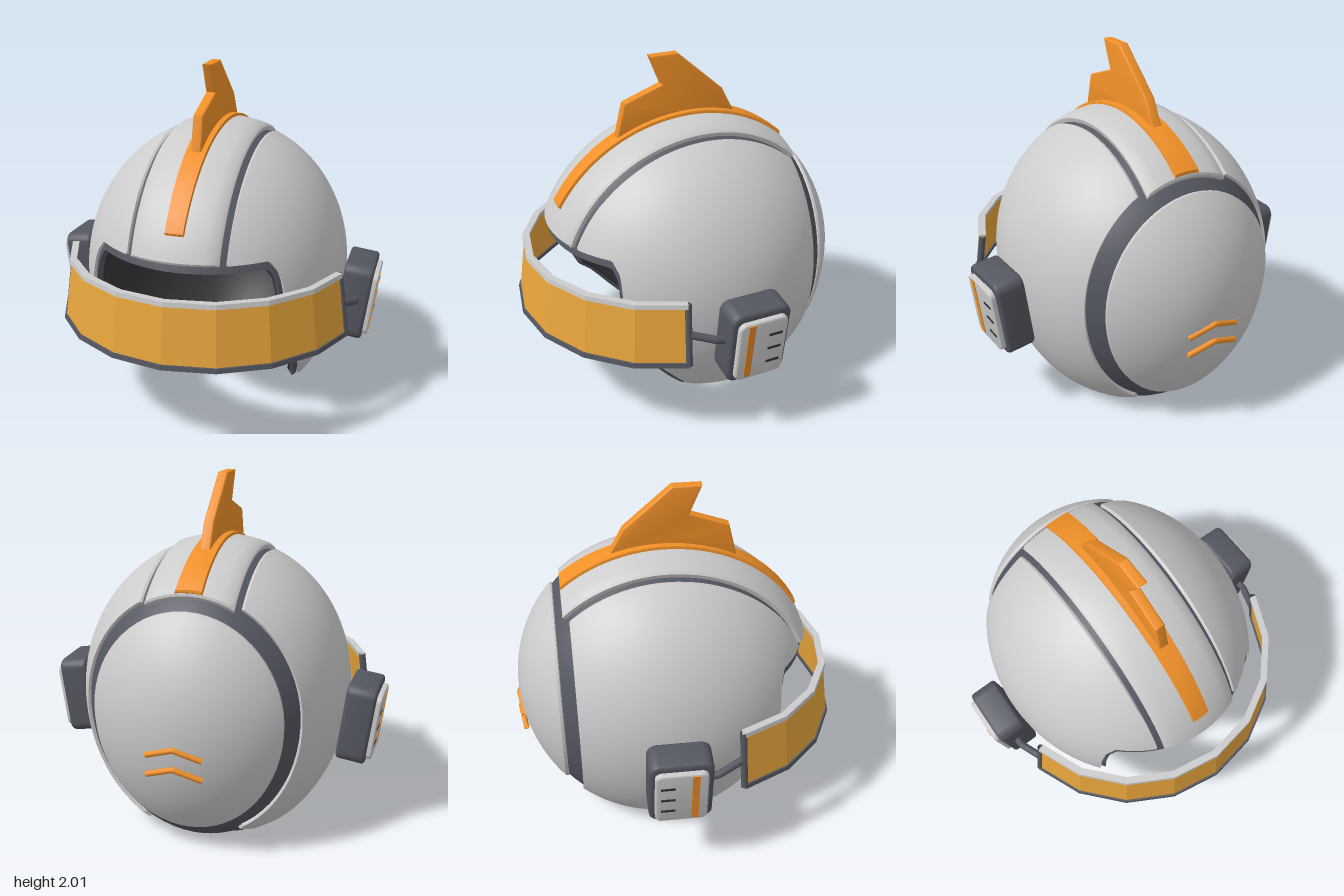
import * as THREE from 'three';
import { toCreasedNormals } from 'three/addons/utils/BufferGeometryUtils.js';

const C = new THREE.Vector3(0, 0.77, -0.08); // centre of the egg-shaped shell
const RX = 0.78, TOP = 0.86, LOW = 0.95, FRONT = 0.9, BACK = 0.86;

const material = (color) => new THREE.MeshStandardMaterial({ color, side: THREE.DoubleSide });
const white = material(0xcccccc), slate = material(0x555761), dark = material(0x343437);
const orange = material(0xf09028), amber = material(0xe8a53c);

function add(parent, name, geometry, mat) {
  const mesh = new THREE.Mesh(geometry, mat);
  mesh.name = name;
  parent.add(mesh);
  return mesh;
}

// Point on the shell in the cross-section at z, at angle a from the top
function slicePoint(z, a) {
  const k = sliceScale(z), c = Math.cos(a);
  return new THREE.Vector3(RX * k * Math.sin(a), C.y + (c > 0 ? TOP : LOW) * k * c, z);
}
function sliceScale(z) {
  const d = (z - C.z) / (z > C.z ? FRONT : BACK);
  return Math.sqrt(Math.max(1e-6, 1 - d * d));
}
// Angle at which the cross-section at z reaches height y
function angleAt(z, y) {
  const r = (y > C.y ? TOP : LOW) * sliceScale(z);
  return Math.acos(THREE.MathUtils.clamp((y - C.y) / r, -1, 1));
}

const allEdges = (u, v) => u === 0 || u === 1 || v === 0 || v === 1;

// Thick curved panel: f(u, v) lies on the shell, r0 and r1 scale it to the inner and outer skin
function panel(f, nu, nv, r0, r1, isBevelled = allEdges) {
  const pos = [], index = [], half = (nu + 1) * (nv + 1);
  const sample = (i, n) => (i === 0 ? 0 : i === n ? 1 : (i - 0.7) / (n - 1.4));
  for (const r of [r1, r0])
    for (let i = 0; i <= nu; i++)
      for (let j = 0; j <= nv; j++) {
        const u = sample(i, nu), v = sample(j, nv);
        const s = r === r1 && isBevelled(u, v) ? r - 0.012 : r;
        pos.push(...f(u, v).sub(C).multiplyScalar(s).add(C).toArray());
      }
  const at = (i, j) => i * (nv + 1) + j;
  const point = (k) => new THREE.Vector3().fromArray(pos, k * 3);
  const mi = nu >> 1, mj = nv >> 1, p = point(at(mi, mj));
  const n = point(at(mi + 1, mj)).sub(p).cross(point(at(mi, mj + 1)).sub(p));
  const flip = n.dot(p.sub(C)) < 0;
  const quad = (a, b, c, d) => (flip ? index.push(a, c, b, a, d, c) : index.push(a, b, c, a, c, d));
  for (let i = 0; i < nu; i++)
    for (let j = 0; j < nv; j++) {
      const q = [at(i, j), at(i + 1, j), at(i + 1, j + 1), at(i, j + 1)];
      quad(...q);
      quad(...q.reverse().map((k) => k + half));
    }
  const rim = (a, b) => quad(a, a + half, b + half, b);
  for (let i = 0; i < nu; i++) {
    rim(at(i, 0), at(i + 1, 0));
    rim(at(i + 1, nv), at(i, nv));
  }
  for (let j = 0; j < nv; j++) {
    rim(at(0, j + 1), at(0, j));
    rim(at(nu, j), at(nu, j + 1));
  }
  const g = new THREE.BufferGeometry();
  g.setAttribute('position', new THREE.Float32BufferAttribute(pos, 3));
  g.setIndex(index);
  return toCreasedNormals(g, 0.6);
}

// Lower edge of a panel as [z, y] points, read at u from 0 to 1
function along(path, u) {
  const t = u * (path.length - 1), i = Math.min(Math.floor(t), path.length - 2);
  return [0, 1].map((k) => THREE.MathUtils.lerp(path[i][k], path[i + 1][k], t - i));
}

// Band running over the crown from height yFront to depth zBack
function crownBand(width, yFront, zBack, r0, r1) {
  return panel((u, v) => {
    const x = width(u) * (2 * v - 1), k = Math.sqrt(1 - (x / RX) ** 2);
    const start = Math.asin((yFront - C.y) / (TOP * k));
    const phi = THREE.MathUtils.lerp(start, Math.acos((zBack - C.z) / (BACK * k)), u);
    const c = Math.cos(phi);
    return new THREE.Vector3(x, C.y + TOP * k * Math.sin(phi), C.z + (c > 0 ? FRONT : BACK) * k * c);
  }, 48, 10, r0, r1);
}

// Rounded plate in the z-y plane, thick along x
function plate(w, h, depth, radius, bevel) {
  const s = new THREE.Shape(), a = w / 2 - bevel, b = h / 2 - bevel, r = radius;
  s.absarc(a - r, b - r, r, 0, Math.PI / 2);
  s.absarc(-a + r, b - r, r, Math.PI / 2, Math.PI);
  s.absarc(-a + r, -b + r, r, Math.PI, Math.PI * 1.5);
  s.absarc(a - r, -b + r, r, Math.PI * 1.5, Math.PI * 2);
  return sideExtrude(s, depth, bevel);
}
function sideExtrude(shape, depth, bevel) {
  const d = depth - 2 * bevel;
  const g = new THREE.ExtrudeGeometry(shape, {
    depth: d, bevelThickness: bevel, bevelSize: bevel, bevelSegments: 3, curveSegments: 6,
  });
  return toCreasedNormals(g.translate(0, 0, -d / 2).rotateY(-Math.PI / 2), 0.6);
}

function tube(points, radius) {
  const path = new THREE.CurvePath();
  const v = points.map((p) => new THREE.Vector3(...p));
  for (let i = 1; i < v.length; i++) path.add(new THREE.LineCurve3(v[i - 1], v[i]));
  return new THREE.TubeGeometry(path, 24, radius, 10);
}

// Faceted visor strip between two heights, leaning outward toward the bottom
const VISOR_ANGLE = 1.34;
const visorRadius = (y) => THREE.MathUtils.lerp(0.875, 0.825, (y - 0.54) / 0.36);
const visorPoint = (a, y, r) => [Math.sin(a) * r, y, 0.08 + Math.cos(a) * r];
function visorBand(y0, y1, thick) {
  const pos = [], index = [], n = 8;
  for (let i = 0; i <= n; i++) {
    const a = VISOR_ANGLE * ((2 * i) / n - 1);
    for (const [y, s] of [[y0, 1], [y1, 1], [y1, -1], [y0, -1]])
      pos.push(...visorPoint(a, y, visorRadius(y) + (s * thick) / 2));
  }
  for (let i = 0; i < n; i++)
    for (let j = 0; j < 4; j++) {
      const a = i * 4 + j, b = i * 4 + ((j + 1) % 4);
      index.push(a, a + 4, b + 4, a, b + 4, b);
    }
  const e = n * 4;
  index.push(0, 1, 2, 0, 2, 3, e, e + 2, e + 1, e, e + 3, e + 2);
  const g = new THREE.BufferGeometry();
  g.setAttribute('position', new THREE.Float32BufferAttribute(pos, 3));
  g.setIndex(index);
  return toCreasedNormals(g, 0.1);
}

export function createModel() {
  const model = new THREE.Group();
  model.name = 'helmet';

  // Dark under-shell and its lining, open at the face and neck
  const shellEdge = [[-0.9399, -1], [-0.93, -1], [-0.88, -1], [-0.78, -1], [-0.57, -1], [-0.55, -0.01],
    [-0.2, 0.075], [0.1, 0.13], [0.19, 0.155], [0.27, 0.235], [0.39, 0.37], [0.48, 0.45], [0.545, 0.58],
    [0.56, 0.75], [0.565, 0.95], [0.585, 1.01], [0.7, 1.01], [0.784, 1.01]];
  const shell = (u, v) => {
    const [z, y] = along(shellEdge, u);
    return slicePoint(z, angleAt(z, y) * (2 * v - 1));
  };
  add(model, 'underShell', panel(shell, 85, 64, 0.945, 0.98, () => false), slate);
  add(model, 'lining', panel(shell, 85, 64, 0.92, 0.94, () => false), dark);

  // White side panels
  const sideEdge = [[-0.61, 0.11], [-0.59, 0.075], [-0.5, 0.04], [-0.2, 0.09], [0.1, 0.15], [0.17, 0.175],
    [0.25, 0.26], [0.37, 0.39], [0.46, 0.47], [0.52, 0.58], [0.54, 0.75], [0.545, 0.98], [0.57, 1.05],
    [0.64, 1.05], [0.706, 1.05]];
  for (const side of [1, -1]) {
    const f = (u, v) => {
      const [z, y] = along(sideEdge, u);
      const top = Math.asin(Math.min(1, 0.28 / (RX * sliceScale(z))));
      const p = slicePoint(z, THREE.MathUtils.lerp(top, Math.max(top, angleAt(z, y)), v));
      p.x *= side;
      return p;
    };
    add(model, side > 0 ? 'leftPanel' : 'rightPanel', panel(f, 84, 40, 0.96, 1), white);
  }

  // Back cap
  const cap = (u, v) => slicePoint(C.z - BACK * Math.cos(u * 0.766 + 1e-3), v * Math.PI * 2);
  add(model, 'backCap', panel(cap, 20, 64, 0.96, 1, (u) => u === 1), white);

  // Crown band, orange stripe and crest fin
  add(model, 'crownBand', crownBand(() => 0.247, 1.05, -0.64, 0.96, 1.02), white);
  add(model, 'crownStripe', crownBand((u) => 0.052 + 0.023 * u, 1.185, -0.63, 1.0, 1.038), orange);
  const fin = new THREE.Shape([[0.36, 1.54], [0.31, 1.74], [0.08, 1.825], [0.15, 1.99], [0, 1.99],
    [-0.27, 1.755], [-0.36, 1.59], [0, 1.58]].map((p) => new THREE.Vector2(...p)));
  add(model, 'crestFin', sideExtrude(fin, 0.06, 0.01), orange);

  // Chevrons on the back cap
  for (const y of [0.685, 0.575]) {
    const end = y - 0.055;
    add(model, 'backChevron', tube([[-0.155, end, -0.917], [0, y, -0.943], [0.155, end, -0.917]], 0.016), orange);
  }

  // Visor with rims
  const visor = new THREE.Group();
  visor.name = 'visor';
  model.add(visor);
  add(visor, 'visorGlass', visorBand(0.555, 0.885, 0.02), amber);
  add(visor, 'visorTopRim', visorBand(0.878, 0.905, 0.04), white);
  add(visor, 'visorBottomRim', visorBand(0.535, 0.562, 0.04), slate);

  // Ear pods with visor arms, mirrored
  for (const side of [1, -1]) {
    const a = side * VISOR_ANGLE;
    add(visor, 'visorEndRim', tube([0.54, 0.9].map((y) => visorPoint(a, y, visorRadius(y))), 0.02), slate);

    const half = new THREE.Group();
    half.name = side > 0 ? 'leftEar' : 'rightEar';
    half.scale.x = side;
    model.add(half);
    add(half, 'visorArm', tube([[0.875, 0.655, 0.02], [0.875, 0.68, 0.13], [0.825, 0.72, 0.27]], 0.022), slate);
    const pod = new THREE.Group();
    pod.name = 'earPod';
    pod.position.set(0.855, 0.64, -0.09);
    pod.rotation.set(0, 0.03, -0.13);
    half.add(pod);
    add(pod, 'podBody', plate(0.355, 0.465, 0.17, 0.04, 0.02), slate);
    add(pod, 'podPlate', plate(0.29, 0.39, 0.04, 0.03, 0.01).translate(0.095, -0.005, 0), white);
    add(pod, 'podBar', new THREE.BoxGeometry(0.02, 0.36, 0.04).translate(0.109, 0, 0.075), orange);
    for (const y of [0.085, -0.01, -0.105])
      add(pod, 'podSlot', new THREE.BoxGeometry(0.02, 0.016, 0.08).translate(0.108, y, -0.075), dark);
  }
  return model;
}
